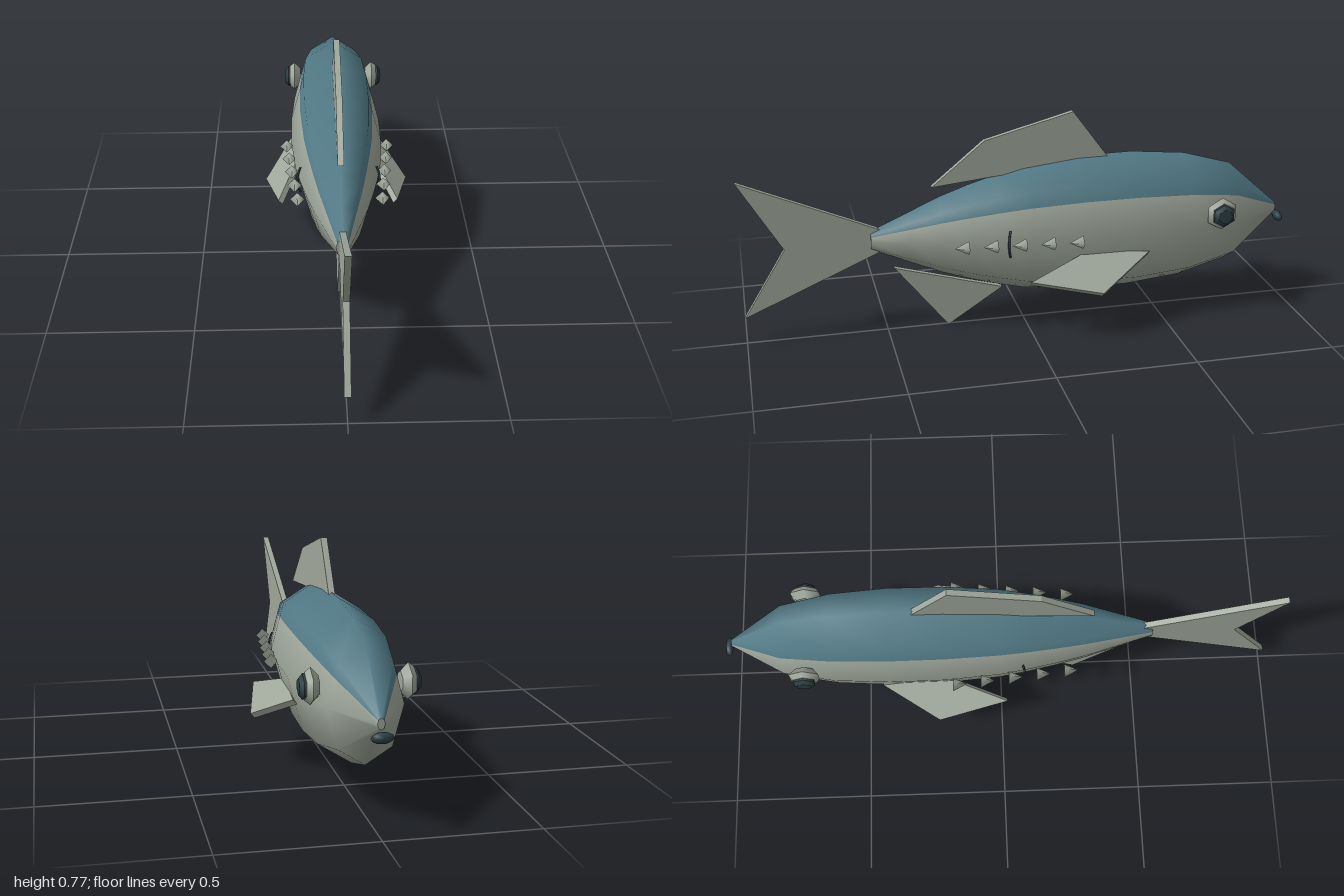
import * as THREE from 'three';

const mat = (name, color) => Object.assign(new THREE.MeshStandardMaterial({ color }), { name });

export function createModel() {
  const silver = mat('silver grey', 0x9fa79b);
  const blue = mat('steel blue', 0x527a86);
  const dark = mat('dark slate', 0x2c3e44);
  const fish = new THREE.Group();
  fish.name = 'fish';

  const add = (name, geometry, material, x = 0, y = 0, z = 0) => {
    const mesh = new THREE.Mesh(geometry, material);
    mesh.name = name;
    mesh.position.set(x, y, z);
    fish.add(mesh);
    return mesh;
  };

  // Body: octagonal rings [z, half height], narrower in x
  const WIDTH = 0.65, MID = 0.35;
  const rings = [[-0.97, 0.018], [-0.78, 0.188], [-0.6, 0.24], [-0.4, 0.26], [-0.2, 0.258],
    [0, 0.235], [0.1, 0.21], [0.2, 0.18], [0.3, 0.145], [0.42, 0.092], [0.55, 0.035]];
  const corner = (k) => [WIDTH * Math.cos(k * Math.PI / 4), Math.sin(k * Math.PI / 4)];
  // Where the back colour meets the belly colour, part way up the side facet
  const [c0, c1] = [corner(0), corner(1)];
  const seam = [c0[0] + (c1[0] - c0[0]) * 0.7, c0[1] + (c1[1] - c0[1]) * 0.7];
  const seamRight = [-seam[0], seam[1]];

  const skin = (section) => {
    const pos = [], nor = [], idx = [], n = section.length;
    rings.forEach(([z, r], i) => {
      const p = rings[Math.max(i - 1, 0)], q = rings[Math.min(i + 1, rings.length - 1)];
      const slope = (q[1] - p[1]) / (q[0] - p[0]);
      section.forEach(([x, y], j) => {
        pos.push(x * r, MID + y * r, z);
        const v = new THREE.Vector3(x / WIDTH ** 2, y, -slope).normalize();
        nor.push(v.x, v.y, v.z);
        if (i && j) {
          const d = i * n + j, c = d - 1, b = d - n, a = b - 1;
          idx.push(a, b, d, a, d, c);
        }
      });
    });
    const g = new THREE.BufferGeometry();
    g.setAttribute('position', new THREE.Float32BufferAttribute(pos, 3));
    g.setAttribute('normal', new THREE.Float32BufferAttribute(nor, 3));
    g.setIndex(idx);
    return g;
  };
  add('back', skin([seam, corner(1), corner(2), corner(3), seamRight]), blue);
  add('belly', skin([seamRight, corner(4), corner(5), corner(6), corner(7), corner(8), seam]), silver);
  add('tailStump', new THREE.CircleGeometry(0.035, 8).scale(WIDTH, 1, 1), silver, 0, MID, 0.55);
  add('snoutTip', new THREE.CircleGeometry(0.018, 8).scale(WIDTH, 1, 1).rotateY(Math.PI), silver, 0, MID, -0.97);

  // Fins: flat plates outlined in (z, y)
  const plate = (points) => new THREE.ExtrudeGeometry(
    new THREE.Shape(points.map(([z, y]) => new THREE.Vector2(z, y))),
    { depth: 0.022, bevelEnabled: false },
  ).translate(0, 0, -0.011).rotateY(-Math.PI / 2);
  add('dorsalFin', plate([[-0.31, 0.6], [0.33, 0.533], [0.14, 0.69], [-0.18, 0.775]]), silver);
  add('analFin', plate([[0.47, 0.24], [0.08, 0.13], [0.28, 0]]), silver);
  add('tailFin', plate([[0.42, 0.35], [1, 0.1], [0.85, 0.345], [1, 0.6]]), silver);

  for (const s of [1, -1]) {
    const side = s > 0 ? 'left' : 'right';

    // Pectoral fin slanting down and outwards
    const fin = add(`${side}PectoralFin`,
      plate([[-0.43, 0.01], [-0.2, -0.01], [0.02, 0.09], [-0.23, 0.158]]), silver, s * 0.142, 0.28, 0);
    fin.rotation.z = -s * 2.3;

    // Eye and pupil: six-sided domes facing sideways
    const dome = (name, outer, inner, from, to, material) => add(`${side}${name}`,
      new THREE.CylinderGeometry(inner, outer, to - from, 6, 1, false, Math.PI / 6)
        .rotateZ(-s * Math.PI / 2).toNonIndexed(), material, s * (from + to) / 2, 0.4, -0.7);
    dome('EyeBase', 0.035, 0.06, 0.13, 0.155, silver);
    dome('Eye', 0.06, 0.045, 0.155, 0.173, silver);
    dome('PupilRim', 0.042, 0.042, 0.165, 0.18, dark);
    dome('Pupil', 0.042, 0.027, 0.18, 0.192, dark);

    // Row of small spikes along the flank, pointing to the tail
    for (let i = 0; i < 5; i++) {
      add(`${side}Spike${i + 1}`, new THREE.ConeGeometry(0.025, 0.05, 4).rotateX(Math.PI / 2).toNonIndexed(),
        silver, s * (0.185 - i * 0.0095), MID, -0.15 + i * 0.1);
    }

    // Thin curved line on the flank
    const arc = new THREE.QuadraticBezierCurve3(
      new THREE.Vector3(s * 0.135, 0.295, 0.075), new THREE.Vector3(s * 0.158, 0.345, 0.09),
      new THREE.Vector3(s * 0.135, 0.395, 0.075));
    add(`${side}FlankLine`, new THREE.TubeGeometry(arc, 8, 0.004, 5), dark);
  }

  // Mouth
  add('mouth', new THREE.SphereGeometry(1, 8, 6).scale(0.036, 0.018, 0.015), dark, 0, 0.312, -0.985);
  return fish;
}
